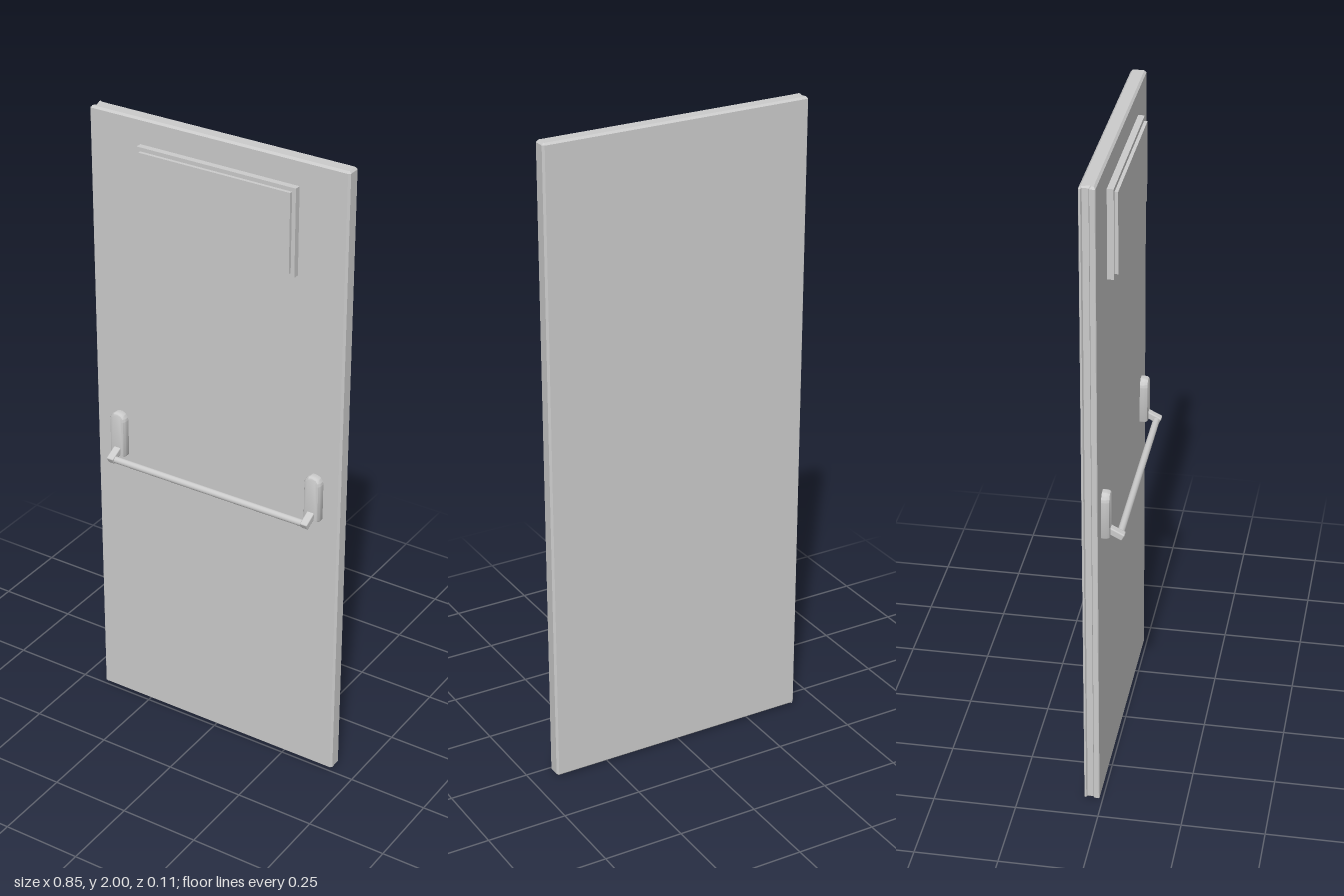
import * as THREE from 'three';
import { toCreasedNormals } from 'three/addons/utils/BufferGeometryUtils.js';
import { RoundedBoxGeometry } from 'three/addons/geometries/RoundedBoxGeometry.js';

const material = new THREE.MeshStandardMaterial({ color: 0xcccccc });

function add(parent, name, geometry, x = 0, y = 0, z = 0) {
  const mesh = new THREE.Mesh(geometry, material);
  mesh.name = name;
  mesh.position.set(x, y, z);
  parent.add(mesh);
  return mesh;
}

// Door leaf: plan section (x, -z) extruded upward, bevelled at top and bottom,
// with chamfered corners and a shallow groove along the -x edge
function leafGeometry() {
  const w = 0.4225, front = 0.009, back = 0.055, c = 0.006;
  const section = [
    [-w + 0.002, front], [w - c, front], [w, front + c], [w, back - c], [w - c, back],
    [-w + 0.002, back], [-w, back - 0.002], [-w, 0.049], [-w + 0.007, 0.046],
    [-w + 0.007, 0.028], [-w, 0.025], [-w, front + 0.002],
  ];
  const shape = new THREE.Shape(section.map(([x, y]) => new THREE.Vector2(x, y)));
  const b = 0.006;
  const geometry = new THREE.ExtrudeGeometry(shape, {
    depth: 2 - 2 * b, bevelThickness: b, bevelSize: b, bevelOffset: -b, bevelSegments: 1,
  });
  return geometry.rotateX(-Math.PI / 2).translate(0, b, 0);
}

// Bracket plate: flat foot, rounded head, tapering away from the door
function bracketGeometry() {
  const r = 0.027, bottom = 0.89, shoulder = 1.01;
  const shape = new THREE.Shape();
  shape.moveTo(-r + 0.006, bottom);
  shape.lineTo(r - 0.006, bottom);
  shape.quadraticCurveTo(r, bottom, r, bottom + 0.006);
  shape.lineTo(r, shoulder);
  shape.absarc(0, shoulder, r, 0, Math.PI);
  shape.lineTo(-r, bottom + 0.006);
  shape.quadraticCurveTo(-r, bottom, -r + 0.006, bottom);
  const geometry = new THREE.ExtrudeGeometry(shape, {
    depth: 0.015, bevelThickness: 0.013, bevelSize: 0.008, bevelOffset: -0.008,
    bevelSegments: 3, curveSegments: 20,
  });
  return toCreasedNormals(geometry, 0.6);
}

export function createModel() {
  const door = new THREE.Group();
  door.name = 'door';

  add(door, 'leaf', leafGeometry());

  // Raised window panel in two steps
  const panel = new THREE.Group();
  panel.name = 'windowPanel';
  panel.position.set(0.008, 1.788, 0);
  add(panel, 'panelFrame', new THREE.BoxGeometry(0.52, 0.268, 0.022), 0, 0, -0.001);
  add(panel, 'panelFace', new THREE.BoxGeometry(0.496, 0.244, 0.012), 0, 0, 0.014);
  door.add(panel);

  // Push bar with a bracket and a sloping arm at each end
  const pushBar = new THREE.Group();
  pushBar.name = 'pushBar';
  const plate = bracketGeometry();
  const arm = new RoundedBoxGeometry(0.024, 0.022, 0.056, 3, 0.004);
  for (const side of [-1, 1]) {
    const name = side > 0 ? 'left' : 'right';
    add(pushBar, name + 'Bracket', plate, side * 0.34, 0, -0.0125);
    add(pushBar, name + 'Arm', arm, side * 0.34, 0.902, 0.027).rotation.x = 0.47;
  }
  const rod = new THREE.CylinderGeometry(0.0105, 0.0105, 0.67, 24).rotateZ(Math.PI / 2);
  add(pushBar, 'rod', rod, 0, 0.892, 0.04);
  door.add(pushBar);

  return door;
}
